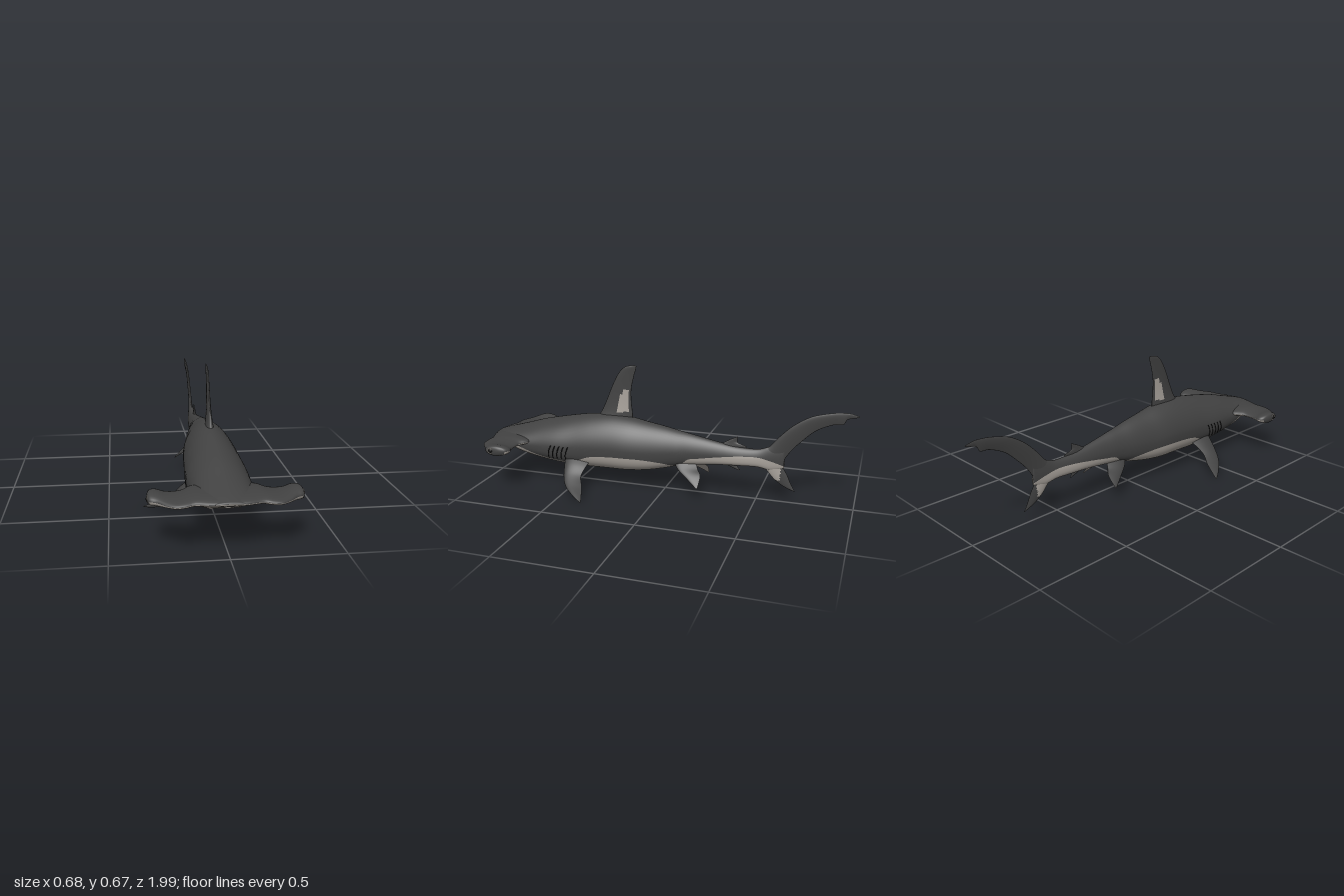
import * as THREE from 'three';

const mat = (name, color) => {
  const m = new THREE.MeshStandardMaterial({ color });
  m.name = name;
  return m;
};

// Catmull-Rom through rows of numbers, n steps between rows
function smooth(rows, n) {
  const out = [];
  const at = (i) => rows[Math.min(Math.max(i, 0), rows.length - 1)];
  for (let i = 0; i < rows.length - 1; i++) {
    for (let s = 0; s < n; s++) {
      const t = s / n;
      out.push(rows[i].map((b, k) => {
        const a = at(i - 1)[k], c = at(i + 1)[k], d = at(i + 2)[k];
        return b + 0.5 * t * (c - a + t * (2 * a - 5 * b + 4 * c - d + t * (3 * (b - c) + d - a)));
      }));
    }
  }
  out.push(rows[rows.length - 1].slice());
  return out;
}

// Skin over closed rings; paint(centre, ring, segment) picks the material index
function loft(name, rings, mats, paint) {
  const pts = rings.flat(), n = rings[0].length, faces = mats.map(() => []);
  const caps = [rings[0], rings[rings.length - 1]].map((r) => {
    const c = new THREE.Vector3();
    r.forEach((p) => c.addScaledVector(p, 1 / n));
    return pts.push(c) - 1;
  });
  let volume = 0;
  const c = new THREE.Vector3(), x = new THREE.Vector3();
  const tri = (m, i, j, k) => {
    faces[m].push([i, j, k]);
    volume += pts[i].dot(x.crossVectors(pts[j], pts[k]));
  };
  for (let i = 0; i < rings.length; i++) {
    for (let j = 0; j < n; j++) {
      const a = i * n + j, b = i * n + (j + 1) % n;
      const last = i === rings.length - 1;
      const d = last ? a : a + n, e = last ? b : b + n;
      c.copy(pts[a]).add(pts[b]).add(pts[d]).add(pts[e]).multiplyScalar(0.25);
      const m = paint(c, i, j);
      if (i === 0) tri(m, caps[0], b, a);
      if (last) tri(m, caps[1], a, b);
      else { tri(m, a, b, e); tri(m, a, e, d); }
    }
  }
  const g = new THREE.BufferGeometry().setFromPoints(pts), index = [];
  faces.forEach((list, m) => {
    const start = index.length;
    list.forEach(([i, j, k]) => index.push(...(volume < 0 ? [i, k, j] : [i, j, k])));
    g.addGroup(start, index.length - start, m);
  });
  g.setIndex(index);
  g.computeVertexNormals();
  const mesh = new THREE.Mesh(g, mats);
  mesh.name = name;
  return mesh;
}

// Fin from rows [lead xyz, trail xyz, half thickness]
function fin(name, rows, normal, mats, paint, side = 1) {
  const M = 14, up = new THREE.Vector3(...normal).normalize();
  const rings = smooth(rows, 8).map((r) => {
    const lead = new THREE.Vector3(...r.slice(0, 3)), trail = new THREE.Vector3(...r.slice(3, 6));
    const ring = [];
    for (let k = 0; k < 2 * M; k++) {
      const u = k <= M ? k / M : 2 - k / M;
      const t = u * u * (3 - 2 * u);
      const h = r[6] * 2.6 * Math.sqrt(t) * (1 - t) * (k <= M ? 1 : -1);
      const p = lead.clone().lerp(trail, t).addScaledVector(up, h);
      p.x *= side;
      ring.push(p);
    }
    return ring;
  });
  return loft(name, rings, mats, (c, i, j) => (paint(c, j < M) ? 1 : 0));
}

// Body rows: z, top, bottom, half width, height of the colour line
const BODY = smooth([
  [0.99, 0.247, 0.235, 0.06, 0.24], [0.95, 0.26, 0.222, 0.1, 0.236],
  [0.9, 0.275, 0.195, 0.125, 0.222], [0.8, 0.305, 0.152, 0.138, 0.2],
  [0.7, 0.335, 0.127, 0.142, 0.165], [0.6, 0.357, 0.112, 0.145, 0.145],
  [0.5, 0.377, 0.102, 0.14, 0.14], [0.4, 0.392, 0.1, 0.135, 0.18],
  [0.3, 0.398, 0.1, 0.128, 0.19], [0.2, 0.39, 0.1, 0.12, 0.19],
  [0.1, 0.372, 0.108, 0.103, 0.185], [0, 0.355, 0.128, 0.086, 0.172],
  [-0.08, 0.338, 0.148, 0.069, 0.155], [-0.14, 0.327, 0.158, 0.059, 0.2],
  [-0.2, 0.315, 0.165, 0.05, 0.21], [-0.3, 0.296, 0.175, 0.04, 0.225],
  [-0.4, 0.281, 0.18, 0.033, 0.237], [-0.5, 0.279, 0.183, 0.025, 0.24],
  [-0.57, 0.3, 0.172, 0.017, 0.225], [-0.64, 0.3, 0.19, 0.007, 0.2],
], 5);
const N_TOP = 1.75, N_LOW = 2.7;
const midOf = (r) => r[2] + 0.42 * (r[1] - r[2]);
const rowAt = (z) => BODY.reduce((a, b) => (Math.abs(b[0] - z) < Math.abs(a[0] - z) ? b : a));

function bodyRing(r) {
  const [z, top, low, w, line] = r, mid = midOf(r), A = 32, B = 24, ring = [];
  const f = line < mid ? (mid - line) / (mid - low) : (line - mid) / (top - mid);
  const start = (line < mid ? -1 : 1) * Math.asin(Math.min(f, 1) ** ((line < mid ? N_LOW : N_TOP) / 2));
  for (let k = 0; k < A + B; k++) {
    const a = k < A ? start + (Math.PI - 2 * start) * k / A
      : Math.PI - start + (Math.PI + 2 * start) * (k - A) / B;
    const s = Math.sin(a), c = Math.cos(a), e = 2 / (s > 0 ? N_TOP : N_LOW);
    ring.push(new THREE.Vector3(w * Math.sign(c) * Math.abs(c) ** e,
      mid + (s > 0 ? top - mid : low - mid) * Math.abs(s) ** e, z));
  }
  return ring;
}

export function createModel() {
  const shark = new THREE.Group();
  shark.name = 'hammerheadShark';
  const dark = mat('darkGreySkin', 0x424242), light = mat('paleBelly', 0xa8a29b), black = mat('black', 0x141414);
  const two = [dark, light];
  const tube = (name, pts, radius, m) => {
    const curve = new THREE.CatmullRomCurve3(pts);
    const mesh = new THREE.Mesh(new THREE.TubeGeometry(curve, 20, radius, 6), m);
    mesh.name = name;
    shark.add(mesh);
  };

  shark.add(loft('body', BODY.map(bodyRing), two, (c, i, j) => (j < 32 ? 0 : 1)));

  // Hammer, one loft across the head: x, front z, back z, low y, high y
  const half = smooth([
    [0, 0.99, 0.74, 0.213, 0.262], [0.07, 0.987, 0.74, 0.213, 0.262],
    [0.14, 0.967, 0.745, 0.212, 0.26], [0.18, 0.975, 0.78, 0.21, 0.254],
    [0.22, 0.975, 0.787, 0.209, 0.25], [0.26, 0.95, 0.785, 0.208, 0.252],
    [0.295, 0.92, 0.773, 0.205, 0.26], [0.32, 0.907, 0.785, 0.206, 0.261],
    [0.331, 0.895, 0.81, 0.213, 0.254], [0.335, 0.87, 0.835, 0.228, 0.24],
  ], 4);
  const across = [...half.slice(1).reverse().map((r) => [-r[0], ...r.slice(1)]), ...half];
  const hammerRings = across.map(([x, f, b, lo, hi]) => Array.from({ length: 32 }, (_, k) => {
    const a = k / 32 * Math.PI * 2;
    return new THREE.Vector3(x, (lo + hi) / 2 + (hi - lo) / 2 * Math.sin(a), (f + b) / 2 + (f - b) / 2 * Math.cos(a));
  }));
  shark.add(loft('hammerHead', hammerRings, two, (c, i, j) => (j >= 16 && Math.abs(c.x) < 0.325 ? 1 : 0)));

  // Mouth line on the underside of the head
  const lip = [];
  for (let k = -6; k <= 6; k++) {
    const x = k / 6 * 0.088, z = 0.86 - 0.1 * (k / 6) ** 4, r = rowAt(z), mid = midOf(r);
    lip.push(new THREE.Vector3(x, mid - (mid - r[2]) * (1 - (Math.abs(x) / r[3]) ** N_LOW) ** (1 / N_LOW), z));
  }
  tube('mouthRim', lip, 0.005, light);

  for (const s of [1, -1]) {
    const sideName = s > 0 ? 'left' : 'right';

    // Eye at the end of the hammer
    const eye = new THREE.Mesh(new THREE.SphereGeometry(0.012, 20, 14), black);
    eye.name = sideName + 'Eye';
    eye.scale.x = 0.5;
    const ring = new THREE.Mesh(new THREE.TorusGeometry(0.014, 0.003, 8, 24), light);
    ring.name = sideName + 'EyeRing';
    ring.rotation.y = Math.PI / 2;
    eye.position.set(s * 0.333, 0.235, 0.87);
    ring.position.set(s * 0.332, 0.235, 0.87);
    shark.add(eye, ring);

    // Five gill slits lying on the flank
    for (let g = 0; g < 5; g++) {
      const pts = [];
      for (let k = 0; k <= 4; k++) {
        const y = 0.155 + 0.075 * k / 4, z = 0.63 - 0.025 * g - 0.02 * (k / 4) ** 2;
        const r = rowAt(z), mid = midOf(r);
        const n = y < mid ? N_LOW : N_TOP, q = y < mid ? (mid - y) / (mid - r[2]) : (y - mid) / (r[1] - mid);
        pts.push(new THREE.Vector3(s * r[3] * (1 - q ** n) ** (1 / n), y, z));
      }
      tube(sideName + 'GillSlit', pts, 0.0028, black);
    }

    shark.add(fin(sideName + 'PectoralFin', [
      [0.09, 0.17, 0.55, 0.09, 0.16, 0.39, 0.02], [0.145, 0.13, 0.53, 0.14, 0.13, 0.405, 0.017],
      [0.2, 0.085, 0.512, 0.19, 0.09, 0.415, 0.012], [0.25, 0.05, 0.48, 0.24, 0.055, 0.39, 0.009],
      [0.3, 0.021, 0.418, 0.295, 0.024, 0.37, 0.006], [0.334, 0.004, 0.362, 0.333, 0.004, 0.358, 0.001],
    ], [0.6, 0.8, 0], two, (c, upper) => !upper && Math.abs(c.x) < 0.28, s));

    shark.add(fin(sideName + 'PelvicFin', [
      [0.03, 0.185, -0.05, 0.025, 0.18, -0.18, 0.012], [0.07, 0.145, -0.09, 0.05, 0.15, -0.195, 0.008],
      [0.102, 0.108, -0.15, 0.08, 0.125, -0.217, 0.005], [0.13, 0.07, -0.208, 0.128, 0.074, -0.214, 0.001],
    ], [0.75, 0.65, 0], two, (c, upper) => !upper, s));
  }

  const none = () => false, X = [1, 0, 0];
  // Dorsal fin with a pale patch on each face
  shark.add(fin('dorsalFin', [
    [0, 0.36, 0.4, 0, 0.36, 0.185, 0.026], [0, 0.415, 0.36, 0, 0.41, 0.184, 0.016],
    [0, 0.48, 0.33, 0, 0.47, 0.19, 0.01], [0, 0.56, 0.296, 0, 0.545, 0.19, 0.007],
    [0, 0.625, 0.262, 0, 0.615, 0.175, 0.006], [0, 0.663, 0.225, 0, 0.655, 0.163, 0.005],
    [0, 0.675, 0.175, 0, 0.672, 0.16, 0.001],
  ], X, two, (c) => c.y > 0.415 && c.y < 0.54 && c.z > 0.205 && c.z < 0.28 - (c.y - 0.415) * 0.35));

  shark.add(fin('secondDorsalFin', [
    [0, 0.27, -0.27, 0, 0.27, -0.43, 0.01], [0, 0.295, -0.315, 0, 0.287, -0.44, 0.006],
    [0, 0.315, -0.35, 0, 0.303, -0.395, 0.004], [0, 0.336, -0.392, 0, 0.333, -0.395, 0.001],
  ], X, two, none));

  shark.add(fin('analFin', [
    [0, 0.2, -0.29, 0, 0.2, -0.39, 0.009], [0, 0.175, -0.34, 0, 0.175, -0.395, 0.005],
    [0, 0.152, -0.4, 0, 0.154, -0.41, 0.001],
  ], X, two, none));

  // Tail fin lobes
  shark.add(fin('upperTailLobe', [
    [0, 0.265, -0.5, 0, 0.19, -0.625, 0.016], [0, 0.3, -0.56, 0, 0.235, -0.64, 0.011],
    [0, 0.36, -0.612, 0, 0.29, -0.675, 0.008], [0, 0.425, -0.68, 0, 0.345, -0.725, 0.007],
    [0, 0.477, -0.765, 0, 0.405, -0.79, 0.006], [0, 0.503, -0.86, 0, 0.443, -0.87, 0.005],
    [0, 0.51, -0.92, 0, 0.45, -0.92, 0.004], [0, 0.509, -0.955, 0, 0.478, -0.94, 0.003],
    [0, 0.498, -0.996, 0, 0.492, -0.994, 0.001],
  ], X, two, none));
  shark.add(fin('lowerTailLobe', [
    [0, 0.23, -0.5, 0, 0.26, -0.645, 0.014], [0, 0.17, -0.55, 0, 0.2, -0.635, 0.01],
    [0, 0.125, -0.59, 0, 0.15, -0.66, 0.007], [0, 0.09, -0.64, 0, 0.105, -0.68, 0.004],
    [0, 0.065, -0.7, 0, 0.068, -0.701, 0.001],
  ], X, two, (c) => c.y > 0.12 && c.y < 0.225 && c.z > -0.622));

  return shark;
}
